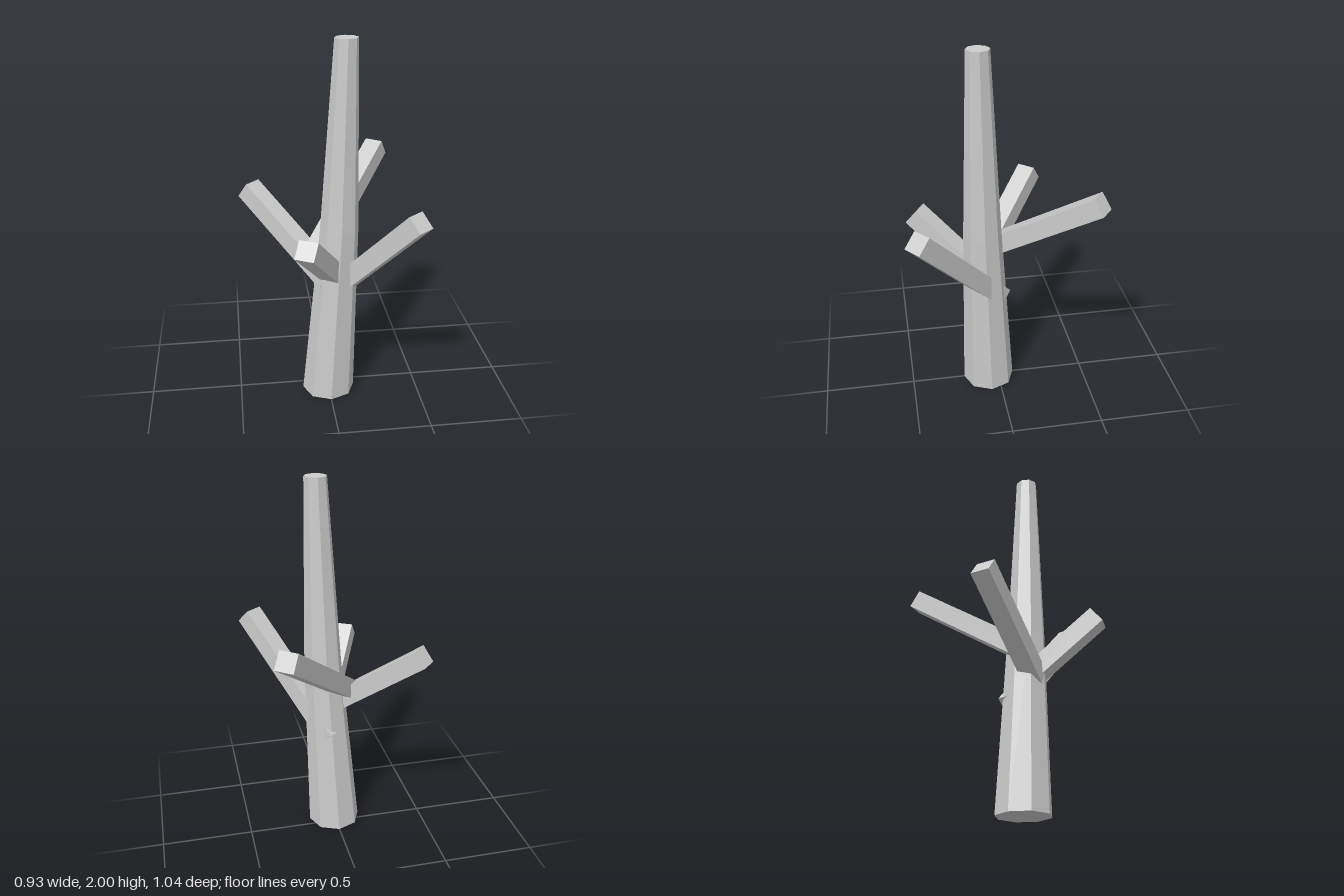
import * as THREE from 'three';

const material = new THREE.MeshStandardMaterial({ color: 0xcccccc, flatShading: true });

// Tapered octagonal trunk, bent at mid height by shifting each ring
function createTrunk() {
  const geometry = new THREE.CylinderGeometry(0.06, 0.145, 2, 8, 2);
  geometry.translate(0, 1, 0);
  const centres = [[0, 0.055], [0.053, 0.09], [0.08, 0.107]];
  const p = geometry.attributes.position;
  for (let i = 0; i < p.count; i++) {
    const [cx, cz] = centres[Math.round(p.getY(i))];
    p.setX(i, p.getX(i) + cx);
    p.setZ(i, p.getZ(i) + cz);
  }
  geometry.computeVertexNormals();
  const trunk = new THREE.Mesh(geometry, material);
  trunk.name = 'trunk';
  return trunk;
}

// Square beam running from the centre of its root to the centre of its tip
function createBranch(name, root, tip) {
  const a = new THREE.Vector3(...root);
  const b = new THREE.Vector3(...tip);
  const branch = new THREE.Mesh(new THREE.BoxGeometry(0.103, 0.1, a.distanceTo(b)), material);
  branch.position.copy(a).lerp(b, 0.5);
  branch.lookAt(b);
  branch.name = name;
  return branch;
}

export function createModel() {
  const tree = new THREE.Group();
  tree.name = 'bareTree';
  tree.add(
    createTrunk(),
    createBranch('frontLeftBranch', [0.026, 0.577, -0.005], [0.4, 1.17, 0.455]),
    createBranch('frontRightBranch', [0.064, 0.675, 0.038], [-0.155, 1.04, 0.431]),
    createBranch('backLeftBranch', [-0.06, 0.85, 0.04], [0.345, 1.27, -0.468]),
    createBranch('backRightBranch', [-0.005, 0.72, 0.123], [-0.407, 1.125, -0.251]),
  );
  return tree;
}
